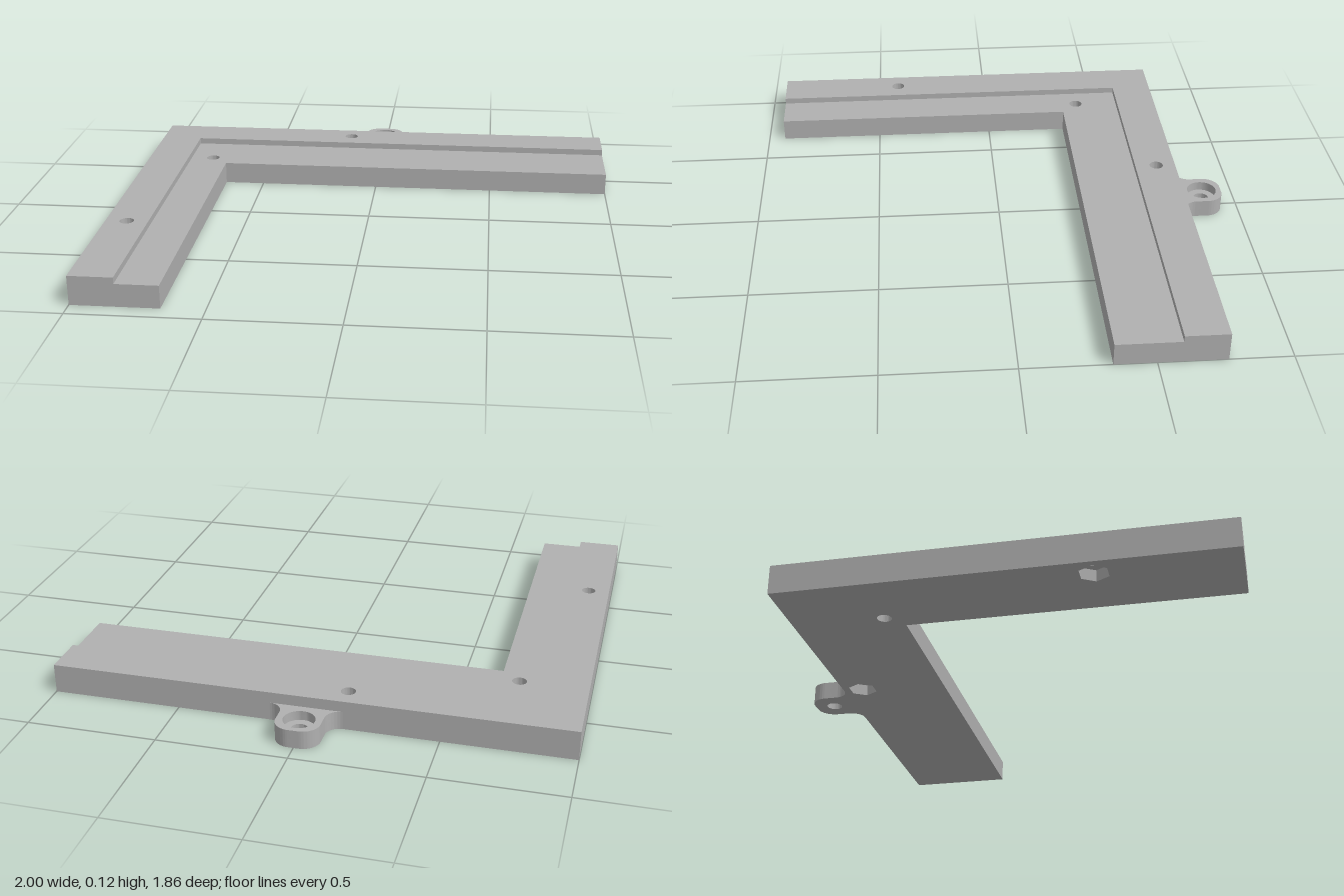
import * as THREE from 'three';
import { toCreasedNormals } from 'three/addons/utils/BufferGeometryUtils.js';

const grey = new THREE.MeshStandardMaterial({ color: 0xb0b0b0 });
grey.name = 'grey';

// Plan coordinates are (x, z); shapes are drawn with y = -z and laid flat.
const BOLT_HOLES = [[-0.14, -0.68], [-0.915, 0.41]];
const CORNER_HOLE = [-0.735, -0.405];
const HOLE_RADIUS = 0.028;

function circle([x, z], r) {
  return new THREE.Path().absarc(x, -z, r, 0, Math.PI * 2, false);
}

function hexagon([x, z], r) {
  const pts = [];
  for (let i = 0; i < 6; i++) {
    const a = (i * Math.PI) / 3;
    pts.push(new THREE.Vector2(x + r * Math.cos(a), -z + r * Math.sin(a)));
  }
  return new THREE.Path(pts);
}

// L outline with arms running to the right and to the front
function lShape(innerX, innerZ) {
  return new THREE.Shape([
    [-1, 0.93], [innerX, 0.93], [innerX, innerZ], [1, innerZ], [1, -0.76], [-1, -0.76],
  ].map(([x, z]) => new THREE.Vector2(x, -z)));
}

// Bracket lug: rounded tip, straight sides, flared root
function lugShape() {
  const s = new THREE.Shape();
  const w = 0.085, tip = 0.065, flare = 0.055, root = 0.76, end = 0.93;
  s.moveTo(w + flare, root);
  s.absarc(w + flare, root + flare, flare, -Math.PI / 2, -Math.PI, true);
  s.absarc(w - tip, end - tip, tip, 0, Math.PI / 2, false);
  s.absarc(-w + tip, end - tip, tip, Math.PI / 2, Math.PI, false);
  s.absarc(-w - flare, root + flare, flare, 0, -Math.PI / 2, true);
  s.closePath();
  return s;
}

function slab(name, shape, holes, y0, y1) {
  shape.holes.push(...holes);
  const geo = new THREE.ExtrudeGeometry(shape, { depth: y1 - y0, bevelEnabled: false, curveSegments: 20 });
  geo.rotateX(-Math.PI / 2);
  geo.translate(0, y0, 0);
  const mesh = new THREE.Mesh(toCreasedNormals(geo, 0.6), grey);
  mesh.name = name;
  return mesh;
}

export function createModel() {
  const model = new THREE.Group();
  model.name = 'cornerBracket';
  const bolts = () => BOLT_HOLES.map((p) => circle(p, HOLE_RADIUS));
  const corner = () => circle(CORNER_HOLE, HOLE_RADIUS);

  // Frame: nut pockets below, ledge in the middle, raised outer rim on top
  model.add(
    slab('nutPocketLayer', lShape(-0.665, -0.34),
      [...BOLT_HOLES.map((p) => hexagon(p, 0.058)), corner()], 0, 0.045),
    slab('ledgeLayer', lShape(-0.665, -0.34), [...bolts(), corner()], 0.045, 0.09),
    slab('raisedRim', lShape(-0.83, -0.59), bolts(), 0.09, 0.115),
  );

  // Mounting lug with a counterbored screw hole
  const lug = new THREE.Group();
  lug.name = 'mountingLug';
  lug.add(
    slab('lugBase', lugShape(), [circle([0, -0.85], 0.031)], 0, 0.035),
    slab('lugCounterbore', lugShape(), [circle([0, -0.85], 0.06)], 0.035, 0.072),
  );
  model.add(lug);
  return model;
}
